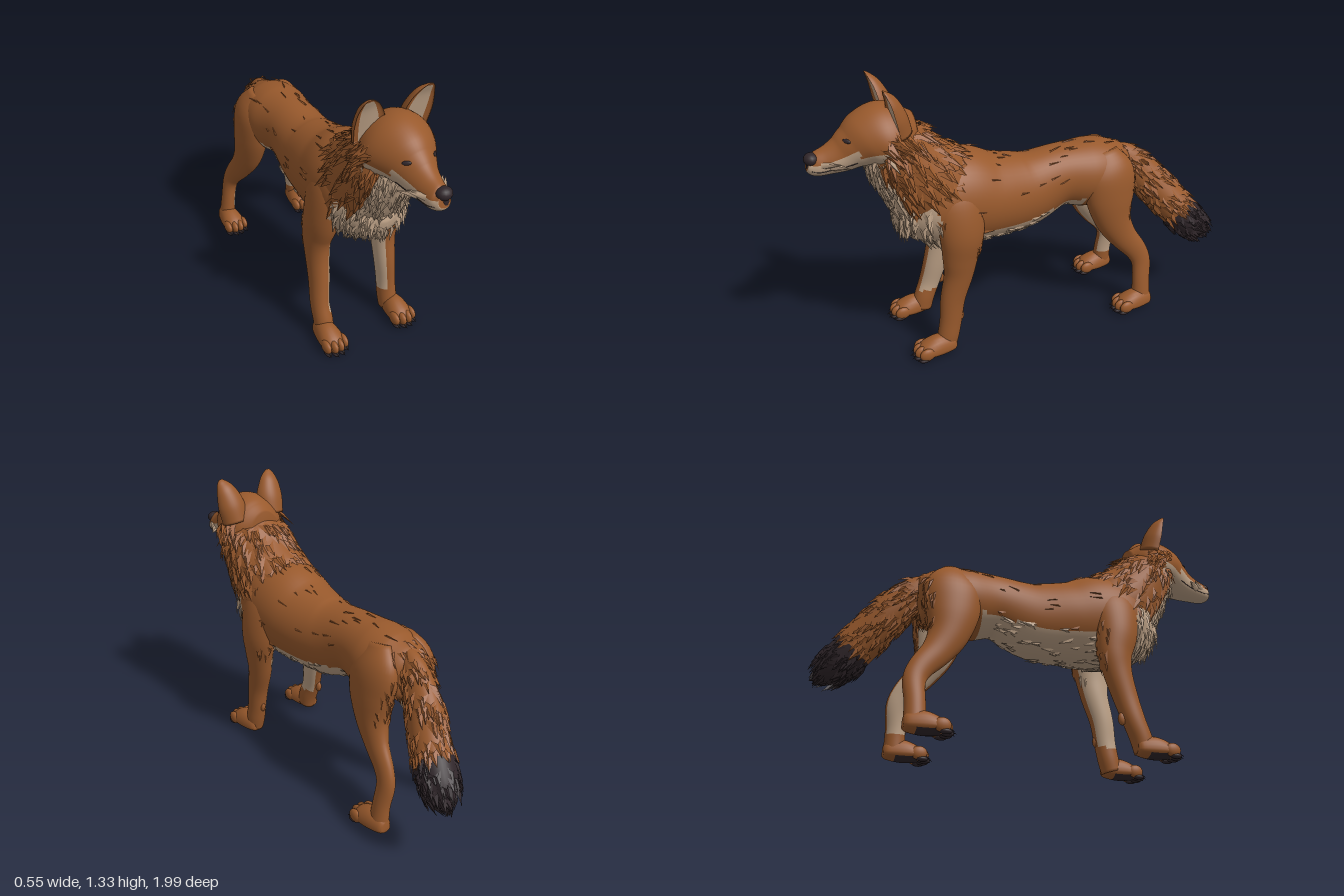
import * as THREE from 'three';

const V = (x, y, z) => new THREE.Vector3(x, y, z);
const mat = (name, color) => {
  const m = new THREE.MeshStandardMaterial({ color, side: THREE.DoubleSide });
  m.name = name;
  return m;
};
const RUST = 0, CREAM = 1, DARK = 2;

let seed = 7;
const rnd = () => {
  seed = (seed * 16807) % 2147483647;
  return seed / 2147483647;
};
const range = (a, b) => a + (b - a) * rnd();

// Smooth skin through oval sections [x, y, z, sideRadius, upRadius]; tint picks a colour per face
function loft(name, mats, rows, tint = () => RUST, shape = (c, s) => [c, s], nl = 40, nr = 40) {
  const path = new THREE.CatmullRomCurve3(rows.map(r => V(r[0], r[1], r[2])), false, 'catmullrom', 0.5);
  const radii = new THREE.CatmullRomCurve3(rows.map(r => V(r[3], r[4], 0)), false, 'catmullrom', 0.5);
  const point = (t, a) => {
    const T = path.getTangent(t), r = radii.getPoint(t);
    const side = V(1, 0, 0).addScaledVector(T, -T.x).normalize();
    const up = T.clone().cross(side);
    const [c, s] = shape(Math.cos(a), Math.sin(a));
    return path.getPoint(t).addScaledVector(side, c * r.x).addScaledVector(up, s * r.y);
  };
  const at = (t, a) => {
    const along = point(Math.min(1, t + 0.01), a).sub(point(Math.max(0, t - 0.01), a));
    const n = point(t, a + 0.02).sub(point(t, a - 0.02)).cross(along).normalize();
    return { p: point(t, a), n, T: path.getTangent(t), a, t };
  };
  const pos = [], faces = [[], [], []];
  for (let i = 0; i <= nl; i++)
    for (let j = 0; j < nr; j++) pos.push(...point(i / nl, j / nr * 2 * Math.PI).toArray());
  for (let i = 0; i < nl; i++)
    for (let j = 0; j < nr; j++) {
      const k = (j + 1) % nr, a = i * nr + j, b = i * nr + k, c = b + nr, d = a + nr;
      faces[tint(at((i + 0.5) / nl, (j + 0.5) / nr * 2 * Math.PI))].push(a, b, c, a, c, d);
    }
  // end caps
  const ends = [path.getPoint(0), path.getPoint(1)];
  ends.forEach((e, side) => {
    const id = pos.length / 3, o = side * nl * nr;
    pos.push(...e.toArray());
    const list = faces[tint(at(side ? 0.999 : 0.001, Math.PI / 2))];
    for (let j = 0; j < nr; j++) {
      const k = (j + 1) % nr;
      if (side) list.push(id, o + j, o + k); else list.push(id, o + k, o + j);
    }
  });
  const g = new THREE.BufferGeometry();
  g.setAttribute('position', new THREE.Float32BufferAttribute(pos, 3));
  g.setIndex(faces.flat());
  let start = 0;
  faces.forEach((f, m) => { if (f.length) g.addGroup(start, f.length, m); start += f.length; });
  g.computeVertexNormals();
  const mesh = new THREE.Mesh(g, mats);
  mesh.name = name;
  return { mesh, at, tint };
}

// Ridged blades of fur scattered over part of a skin
function fur(name, mats, skin, count, [t0, t1], [a0, a1], o) {
  const lists = [[], [], []];
  for (let i = 0; i < count; i++) {
    const q = skin.at(range(t0, t1), range(a0, a1)), { p, n } = q;
    const d = q.T.clone().multiplyScalar(o.flow).add(V(range(-0.25, 0.25), -(o.droop || 0) + range(-0.15, 0.15), 0));
    d.addScaledVector(n, -d.dot(n)).normalize();
    const w = d.clone().cross(n), len = o.len * range(0.7, 1.25), wid = o.wid * range(0.7, 1.2);
    const root = p.clone().addScaledVector(n, -0.003);
    const L = root.clone().addScaledVector(w, -wid), R = root.clone().addScaledVector(w, wid);
    const ridge = p.clone().addScaledVector(d, len * 0.3).addScaledVector(n, o.lift * len * 0.5 + 0.005);
    const tip = p.clone().addScaledVector(d, len).addScaledVector(n, o.lift * len);
    for (const v of [L, ridge, tip, ridge, R, tip]) lists[skin.tint(q)].push(v.x, v.y, v.z);
  }
  const group = new THREE.Group();
  group.name = name;
  lists.forEach((l, m) => {
    if (!l.length) return;
    const g = new THREE.BufferGeometry();
    g.setAttribute('position', new THREE.Float32BufferAttribute(l, 3));
    g.computeVertexNormals();
    const mesh = new THREE.Mesh(g, mats[m]);
    mesh.name = name + 'Blades';
    group.add(mesh);
  });
  return group;
}

function ball(name, m, p, r) {
  const b = new THREE.Mesh(new THREE.SphereGeometry(1, 16, 12), m);
  b.name = name;
  b.position.set(...p);
  b.scale.set(...r);
  return b;
}

// Paw with four toes and claws, heel at z, toes toward +z
function paw(name, mats, x, z) {
  const g = new THREE.Group();
  g.name = name;
  g.add(loft('pawPad', mats, [[x, 0.035, z + 0.005, 0.025, 0.035], [x, 0.035, z + 0.025, 0.04, 0.055], [x, 0.035, z + 0.09, 0.054, 0.068],
    [x, 0.032, z + 0.15, 0.056, 0.05], [x, 0.025, z + 0.19, 0.035, 0.025]],
    q => (Math.sin(q.a) < -0.6 && q.p.z > z + 0.06 ? DARK : RUST), (c, s) => [c, s < 0 ? s * 0.52 : s], 16, 24).mesh);
  [-1.5, -0.5, 0.5, 1.5].forEach(k => {
    const tx = x + k * 0.03, tz = z + 0.195 - Math.abs(k) * 0.014;
    g.add(ball('toe', mats[RUST], [tx, 0.038, tz - 0.014], [0.018, 0.032, 0.038]));
    g.add(ball('toePad', mats[DARK], [tx, 0.012, tz], [0.015, 0.012, 0.028]));
    const claw = new THREE.Mesh(new THREE.ConeGeometry(0.009, 0.04, 8), mats[DARK]);
    claw.name = 'claw';
    claw.position.set(tx, 0.02, tz + 0.022);
    claw.rotation.x = 1.95;
    g.add(claw);
  });
  return g;
}

export function createModel() {
  const mats = [mat('rustFur', 0x98592c), mat('creamFur', 0xbea287), mat('darkFur', 0x30262a)];
  const model = new THREE.Group();
  model.name = 'wildDog';
  const PI = Math.PI;

  // Trunk, rump to chest
  const body = loft('body', mats, [[0, 0.73, -0.56, 0.05, 0.06], [0, 0.73, -0.53, 0.11, 0.115], [0, 0.72, -0.45, 0.155, 0.155],
    [0, 0.72, -0.33, 0.165, 0.17], [0, 0.73, -0.18, 0.14, 0.155], [0, 0.69, 0, 0.16, 0.19], [0, 0.70, 0.18, 0.19, 0.21],
    [0, 0.73, 0.33, 0.205, 0.235], [0, 0.74, 0.46, 0.195, 0.215], [0, 0.75, 0.55, 0.15, 0.165], [0, 0.77, 0.61, 0.07, 0.08]],
    ({ p }) => (p.z > -0.28 && p.y < 0.6 + Math.max(0, p.z - 0.42) * 2.2 + Math.max(0, -p.z) * 0.15 ? CREAM : RUST), undefined, 64, 48);
  model.add(body.mesh);
  model.add(fur('backFur', mats, body, 45, [0.2, 0.75], [-0.2, PI + 0.2], { flow: -1, len: 0.07, wid: 0.006, lift: 0.01 }));
  model.add(fur('bellyFur', mats, body, 110, [0.42, 0.8], [PI * 1.15, PI * 1.85], { flow: -1, len: 0.07, wid: 0.016, lift: 0.06 }));
  model.add(fur('chestFur', mats, body, 110, [0.79, 0.99], [PI * 0.95, PI * 2.05], { flow: -0.2, droop: 1, len: 0.085, wid: 0.022, lift: 0.1 }));
  model.add(fur('rumpFur', mats, body, 45, [0.03, 0.16], [0, PI * 2], { flow: -0.5, droop: 1, len: 0.06, wid: 0.014, lift: 0.02 }));

  // Neck with its ruff and pale bib
  const neck = loft('neck', mats, [[0, 0.75, 0.37, 0.185, 0.19], [0, 0.84, 0.475, 0.185, 0.2], [0, 0.95, 0.565, 0.175, 0.165],
    [0, 1.04, 0.615, 0.16, 0.14], [0, 1.1, 0.64, 0.12, 0.11]],
    q => (Math.sin(q.a) < -0.66 ? CREAM : RUST));
  model.add(neck.mesh);
  model.add(fur('ruff', mats, neck, 190, [0.12, 0.92], [-0.9, PI + 0.9], { flow: -1, droop: 0.3, len: 0.095, wid: 0.028, lift: 0.14 }));
  model.add(fur('bib', mats, neck, 125, [0.08, 0.85], [PI * 1.2, PI * 1.8], { flow: -0.7, droop: 0.7, len: 0.09, wid: 0.028, lift: 0.14 }));

  // Head and muzzle, narrower above than below
  const head = loft('head', mats, [[0, 1.09, 0.52, 0.08, 0.08], [0, 1.09, 0.58, 0.14, 0.115], [0, 1.095, 0.66, 0.16, 0.138],
    [0, 1.083, 0.73, 0.14, 0.125], [0, 1.055, 0.79, 0.103, 0.097], [0, 1.03, 0.84, 0.077, 0.08], [0, 1.012, 0.9, 0.06, 0.063],
    [0, 1.003, 0.955, 0.048, 0.052], [0, 1.01, 0.985, 0.028, 0.032]],
    ({ p, a }) => (p.z > 0.67 && Math.sin(a) < (p.z > 0.78 ? 0.1 : -0.3) ? CREAM : RUST), (c, s) => [c * (1 - 0.17 * s), s], 48, 48);
  model.add(head.mesh);
  for (const a of [[-0.8, 0.25], [PI - 0.25, PI + 0.8]])
    model.add(fur('cheekFur', mats, head, 36, [0.15, 0.32], a, { flow: -0.8, droop: 1, len: 0.095, wid: 0.026, lift: 0.3 }));
  model.add(ball('nose', mats[DARK], [0.008, 1.03, 0.968], [0.036, 0.028, 0.032]));
  model.add(ball('noseCleft', mats[DARK], [0.008, 1.0, 0.974], [0.019, 0.034, 0.018]));

  for (const s of [1, -1]) {
    const side = s > 0 ? 'left' : 'right';
    const inner = low => ({ p, a }) => (Math.cos(a) * s < -0.45 && p.y > low ? CREAM : RUST);

    // Eye, lip line and whisker tufts
    const spot = head.at(0.515, s > 0 ? 0.72 : PI - 0.72);
    const eye = ball(side + 'Eye', mats[DARK], spot.p.toArray(), [0.019, 0.009, 0.005]);
    eye.quaternion.setFromUnitVectors(V(0, 0, 1), spot.n);
    model.add(eye);
    const lip = new THREE.CatmullRomCurve3([0.93, 0.86, 0.75, 0.64, 0.55].map(t => head.at(t, s > 0 ? -0.45 : PI + 0.45).p));
    const lips = new THREE.Mesh(new THREE.TubeGeometry(lip, 20, 0.002, 6), mats[DARK]);
    lips.name = side + 'Lip';
    model.add(lips);
    for (let k = 0; k < 2; k++) {
      const tuft = new THREE.Mesh(new THREE.ConeGeometry(0.02, 0.085, 5), mats[CREAM]);
      tuft.name = side + 'LipTuft';
      tuft.position.set((0.07 + k * 0.014) * s, 1.012 - k * 0.012, 0.895 - k * 0.035);
      tuft.quaternion.setFromUnitVectors(V(0, 1, 0), V(0.65 * s, 0.12 - k * 0.1, -0.7).normalize());
      model.add(tuft);
    }

    // Cupped ear, hollow toward the front with a rust rim
    model.add(loft(side + 'Ear', mats, [[0.105 * s, 1.12, 0.625, 0.07, 0.07], [0.115 * s, 1.2, 0.642, 0.071, 0.065],
      [0.128 * s, 1.265, 0.656, 0.054, 0.045], [0.138 * s, 1.305, 0.67, 0.031, 0.022], [0.141 * s, 1.325, 0.678, 0.01, 0.006]],
      q => (Math.sin(q.a) < -0.05 && Math.abs(Math.cos(q.a)) < 0.68 && q.t < 0.82 ? CREAM : RUST),
      (c, t) => [c, t < 0 ? -t * 0.4 - 0.3 * (1 - c * c) : t], 30, 36).mesh);

    // Foreleg
    const fx = s > 0 ? [0.163, 0.155, 0.15, 0.152] : [-0.178, -0.182, -0.19, -0.203], fz = s > 0 ? 0.03 : 0;
    const fore = loft(side + 'Foreleg', mats, [[0.1 * s, 0.87, 0.36, 0.04, 0.07], [0.138 * s, 0.76, 0.37, 0.07, 0.115],
      [0.165 * s, 0.62, 0.37, 0.072, 0.105], [fx[0], 0.5, 0.35 + fz, 0.06, 0.085], [fx[1], 0.4, 0.36 + fz, 0.053, 0.07],
      [fx[2], 0.28, 0.39 + fz, 0.047, 0.06], [fx[3], 0.17, 0.42 + fz * 0.5, 0.043, 0.054],
      [fx[3], 0.09, 0.45, 0.045, 0.052], [fx[3], 0.03, 0.465, 0.042, 0.05]], inner(0.14));
    model.add(fore.mesh);
    model.add(fur(side + 'ElbowFur', mats, fore, 16, [0.12, 0.45], [PI * 1.2, PI * 1.8], { flow: 1, len: 0.06, wid: 0.014, lift: 0.02 }));
    model.add(ball(side + 'WristPad', mats[RUST], [fx[3], 0.175, 0.36 + fz], [0.015, 0.03, 0.02]));
    model.add(paw(side + 'ForePaw', mats, fx[3] + 0.01 * s, 0.415));

    // Hind leg
    const hx = s * 0.21;
    const hind = loft(side + 'HindLeg', mats, [[0.07 * s, 0.84, -0.4, 0.04, 0.07], [0.105 * s, 0.74, -0.415, 0.072, 0.13],
      [0.122 * s, 0.62, -0.415, 0.073, 0.125], [0.132 * s, 0.5, -0.435, 0.064, 0.095], [0.15 * s, 0.4, -0.485, 0.046, 0.07],
      [0.168 * s, 0.31, -0.555, 0.036, 0.056], [0.18 * s, 0.24, -0.583, 0.034, 0.05], [0.198 * s, 0.14, -0.578, 0.035, 0.046],
      [hx, 0.03, -0.575, 0.042, 0.05]], inner(0.12));
    model.add(hind.mesh);
    model.add(fur(side + 'ThighFur', mats, hind, 22, [0.1, 0.36], [PI * 1.25, PI * 1.75], { flow: 1, len: 0.07, wid: 0.014, lift: 0.02 }));
    model.add(paw(side + 'HindPaw', mats, hx, -0.63));
  }

  // Bushy tail swung to the left, dark at the end
  const tail = loft('tail', mats, [[0, 0.81, -0.46, 0.04, 0.04], [0.02, 0.755, -0.56, 0.055, 0.075], [0.055, 0.65, -0.66, 0.072, 0.09],
    [0.1, 0.54, -0.75, 0.083, 0.092], [0.145, 0.435, -0.84, 0.088, 0.092], [0.17, 0.37, -0.905, 0.07, 0.072], [0.182, 0.335, -0.94, 0.025, 0.025]],
    q => (q.t > 0.6 ? DARK : RUST));
  model.add(tail.mesh);
  model.add(fur('tailFur', mats, tail, 320, [0.12, 0.96], [0, PI * 2], { flow: 1, len: 0.07, wid: 0.022, lift: 0.15 }));
  return model;
}
